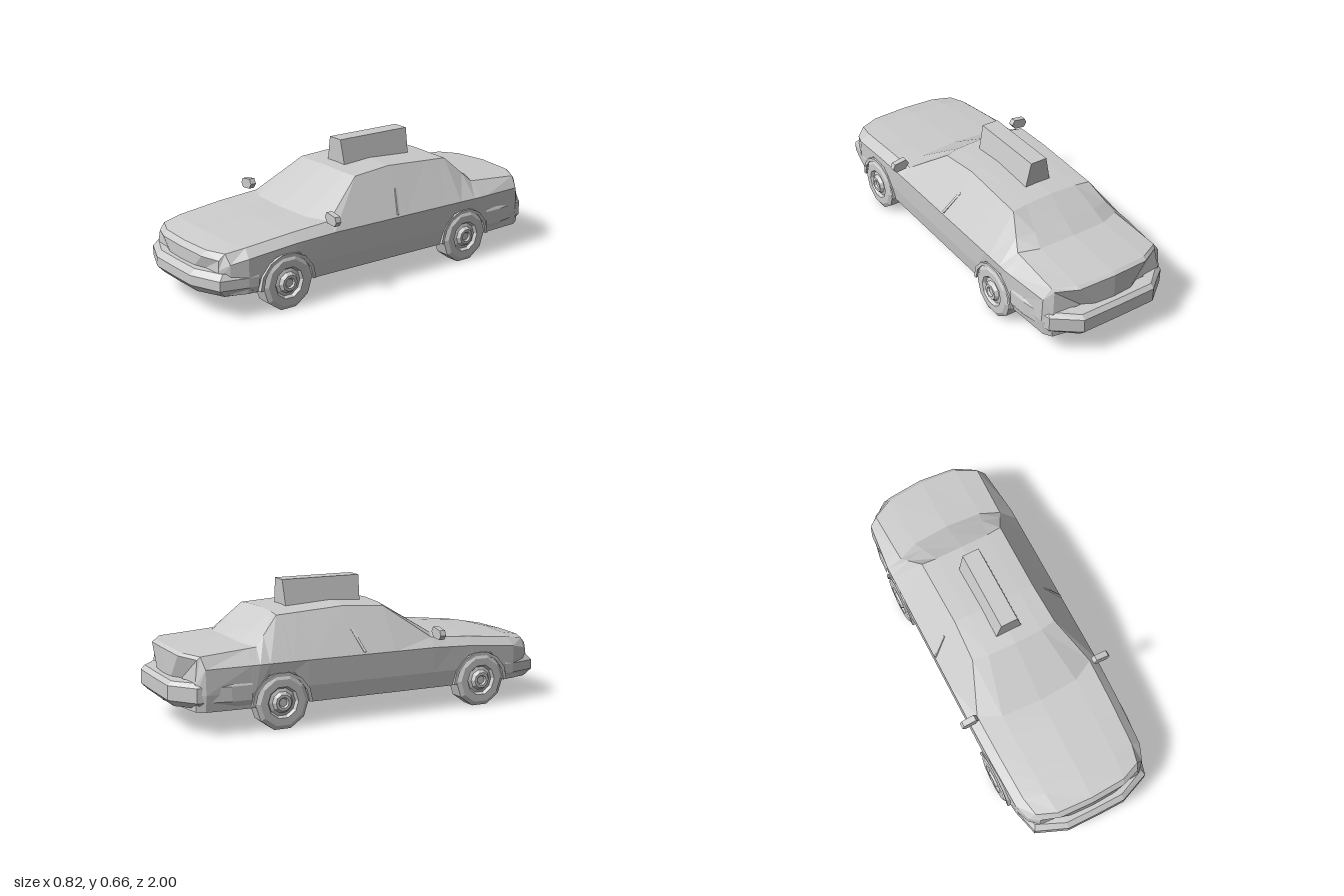
import * as THREE from 'three';

const mat = new THREE.MeshStandardMaterial({ color: 0xcccccc, flatShading: true });
const lerp = THREE.MathUtils.lerp;

function add(parent, geometry, name) {
  const mesh = new THREE.Mesh(geometry, mat);
  mesh.name = name;
  parent.add(mesh);
  return mesh;
}

// Faceted skin over a grid of points; caps close the first and last row
function skin(rows, caps) {
  const pos = [];
  const tri = (...p) => p.forEach((v) => pos.push(...v));
  for (let i = 0; i < rows.length - 1; i++) {
    for (let j = 0; j < rows[i].length - 1; j++) {
      const a = rows[i][j], b = rows[i][j + 1], c = rows[i + 1][j + 1], d = rows[i + 1][j];
      tri(a, d, c);
      tri(a, c, b);
    }
  }
  if (caps) {
    const f = rows[0], r = rows[rows.length - 1];
    for (let j = 1; j < f.length - 2; j++) {
      tri(f[0], f[j], f[j + 1]);
      tri(r[0], r[j + 1], r[j]);
    }
  }
  const g = new THREE.BufferGeometry();
  g.setAttribute('position', new THREE.Float32BufferAttribute(pos, 3));
  g.computeVertexNormals();
  return g;
}

const mirrorRow = (half) => [...half, ...half.slice(0, -1).reverse().map(([x, y, z]) => [-x, y, z])];

// Wheel positions and the height of the sill, raised over each wheel
const AXLES = [0.595, -0.49];
const ARCH = [[0.15, 0.12], [0.135, 0.2], [0.06, 0.275]];
function sillHeight(z) {
  const d = Math.min(...AXLES.map((c) => Math.abs(z - c)));
  if (d >= 0.1499) return 0.12;
  if (d <= 0.06) return 0.275;
  const [p, q] = d > 0.135 ? [ARCH[0], ARCH[1]] : [ARCH[1], ARCH[2]];
  return lerp(p[1], q[1], (p[0] - d) / (p[0] - q[0]));
}

// z, sill x, waist x/y, shoulder x/y/z, centre y/z
const KEYS = [
  [0.92, 0.27, 0.275, 0.24, 0.27, 0.285, 0.915, 0.29, 0.955],
  [0.88, 0.305, 0.315, 0.27, 0.28, 0.315, 0.885, 0.315, 0.935],
  [0.80, 0.335, 0.345, 0.29, 0.30, 0.33, 0.79, 0.34, 0.83],
  [0.55, 0.345, 0.355, 0.315, 0.31, 0.355, 0.55, 0.365, 0.56],
  [0.33, 0.345, 0.36, 0.325, 0.315, 0.37, 0.33, 0.375, 0.40],
  [0.11, 0.345, 0.36, 0.325, 0.225, 0.53, 0.11, 0.54, 0.13],
  [-0.1, 0.345, 0.36, 0.325, 0.215, 0.545, -0.1, 0.555, -0.1],
  [-0.46, 0.345, 0.36, 0.325, 0.22, 0.525, -0.46, 0.535, -0.45],
  [-0.6, 0.345, 0.36, 0.325, 0.285, 0.395, -0.59, 0.408, -0.64],
  [-0.86, 0.33, 0.335, 0.32, 0.295, 0.375, -0.87, 0.385, -0.935],
  [-0.9, 0.305, 0.305, 0.25, 0.29, 0.36, -0.885, 0.375, -0.955],
];

function keyAt(z) {
  let i = 0;
  while (i < KEYS.length - 2 && KEYS[i + 1][0] > z) i++;
  const t = (KEYS[i][0] - z) / (KEYS[i][0] - KEYS[i + 1][0]);
  return KEYS[i].map((v, k) => lerp(v, KEYS[i + 1][k], t));
}

function station(z) {
  const [, xl, xw, yw, xs, ys, zs, yc, zc] = keyAt(z);
  const sill = Math.min(sillHeight(z), yw - 0.02);
  const crease = Math.max(0.2, sill);
  return mirrorRow([
    [0, 0.12, zc],
    [0.27, 0.12, z],
    [sill > 0.121 ? xl + 0.01 : xl, sill, z],
    [xl + 0.01, crease, z],
    [xw, yw, z],
    [xs, ys, zs],
    [xs * 0.65, lerp(ys, yc, 0.5), lerp(zs, zc, 0.8)],
    [0, yc, zc],
  ]);
}

function bodyGeometry() {
  const zs = KEYS.map((k) => k[0]);
  for (const c of AXLES) for (const [d] of ARCH) zs.push(c + d, c - d);
  zs.sort((a, b) => b - a);
  return skin(zs.map(station), true);
}

// Bumper: a plan outline repeated at several heights with an inset
function bumperGeometry(plan, levels) {
  return skin(levels.map(([y, inset]) => mirrorRow(plan.map(([x, z], i) =>
    [Math.max(0, x - (x > 0.25 ? inset * 0.5 : 0)), y, i ? z - inset : z]))));
}

function wheelGeometry() {
  const profile = [[0, 0], [0.136, 0], [0.136, 0.078], [0.115, 0.09], [0.078, 0.09], [0.068, 0.075],
    [0.052, 0.08], [0.04, 0.097], [0.026, 0.097], [0.02, 0.088], [0, 0.088]];
  const g = new THREE.LatheGeometry(profile.map(([r, y]) => new THREE.Vector2(r, y)), 10);
  return g.rotateZ(-Math.PI / 2);
}

// Half-ring lip around the wheel opening
function archGeometry() {
  const s = new THREE.Shape();
  const n = 7;
  const point = (r, i) => [r * Math.cos((i / n) * Math.PI), r * Math.sin((i / n) * Math.PI)];
  s.moveTo(...point(0.155, 0));
  for (let i = 1; i <= n; i++) s.lineTo(...point(0.155, i));
  for (let i = n; i >= 0; i--) s.lineTo(...point(0.138, i));
  return new THREE.ExtrudeGeometry(s, { depth: 0.03, bevelEnabled: false }).rotateY(Math.PI / 2);
}

function mirrorHousingGeometry(side) {
  const pts = [[0.32, 0.4], [0.34, 0.373], [0.395, 0.368], [0.41, 0.39], [0.4, 0.415], [0.335, 0.425]];
  const s = new THREE.Shape(pts.map(([x, y]) => new THREE.Vector2(x * side, y)));
  return new THREE.ExtrudeGeometry(s, { depth: 0.03, bevelEnabled: false }).translate(0, 0, 0.33);
}

export function createModel() {
  const car = new THREE.Group();
  car.name = 'car';
  add(car, bodyGeometry(), 'body');

  // Bumpers
  add(car, bumperGeometry(
    [[0.35, 0.75], [0.345, 0.8], [0.31, 0.935], [0.155, 0.998], [0, 1]],
    [[0.116, 0.12], [0.116, 0.035], [0.153, 0], [0.2, 0], [0.228, 0.025], [0.23, 0.08]]), 'frontBumper');
  add(car, bumperGeometry(
    [[0.358, 0.64], [0.354, 0.74], [0.325, 0.9], [0.2, 0.998], [0, 1]],
    [[0.122, 0.12], [0.135, 0.03], [0.165, 0], [0.235, 0], [0.255, 0.02], [0.257, 0.08]]), 'rearBumper')
    .rotation.y = Math.PI;

  // Roof sign: a box narrowing towards the top
  const sign = new THREE.BoxGeometry(0.14, 0.13, 0.415);
  const p = sign.attributes.position;
  for (let i = 0; i < p.count; i++) {
    if (p.getY(i) > 0) p.setX(i, p.getX(i) * 0.62);
    else p.setZ(i, p.getZ(i) * 0.97);
  }
  add(car, sign, 'roofSign').position.set(0, 0.6, -0.143);

  for (const side of [1, -1]) {
    const label = side > 0 ? 'left' : 'right';
    add(car, mirrorHousingGeometry(side), label + 'Mirror');

    // Slanted strip between the side windows
    const pillar = add(car, new THREE.BoxGeometry(0.008, 0.14, 0.012), label + 'DoorPillar');
    pillar.position.set(side * 0.318, 0.39, -0.075);
    pillar.rotation.set(-0.35, 0, side * 0.58);

    AXLES.forEach((z, i) => {
      const end = i ? 'Rear' : 'Front';
      const wheel = add(car, wheelGeometry(), label + end + 'Wheel');
      wheel.position.set(side * 0.276, 0.136, z);
      if (side < 0) wheel.rotation.y = Math.PI;
      const arch = add(car, archGeometry(), label + end + 'Arch');
      arch.position.set(side > 0 ? 0.332 : -0.362, 0.125, z);
    });
  }
  return car;
}
